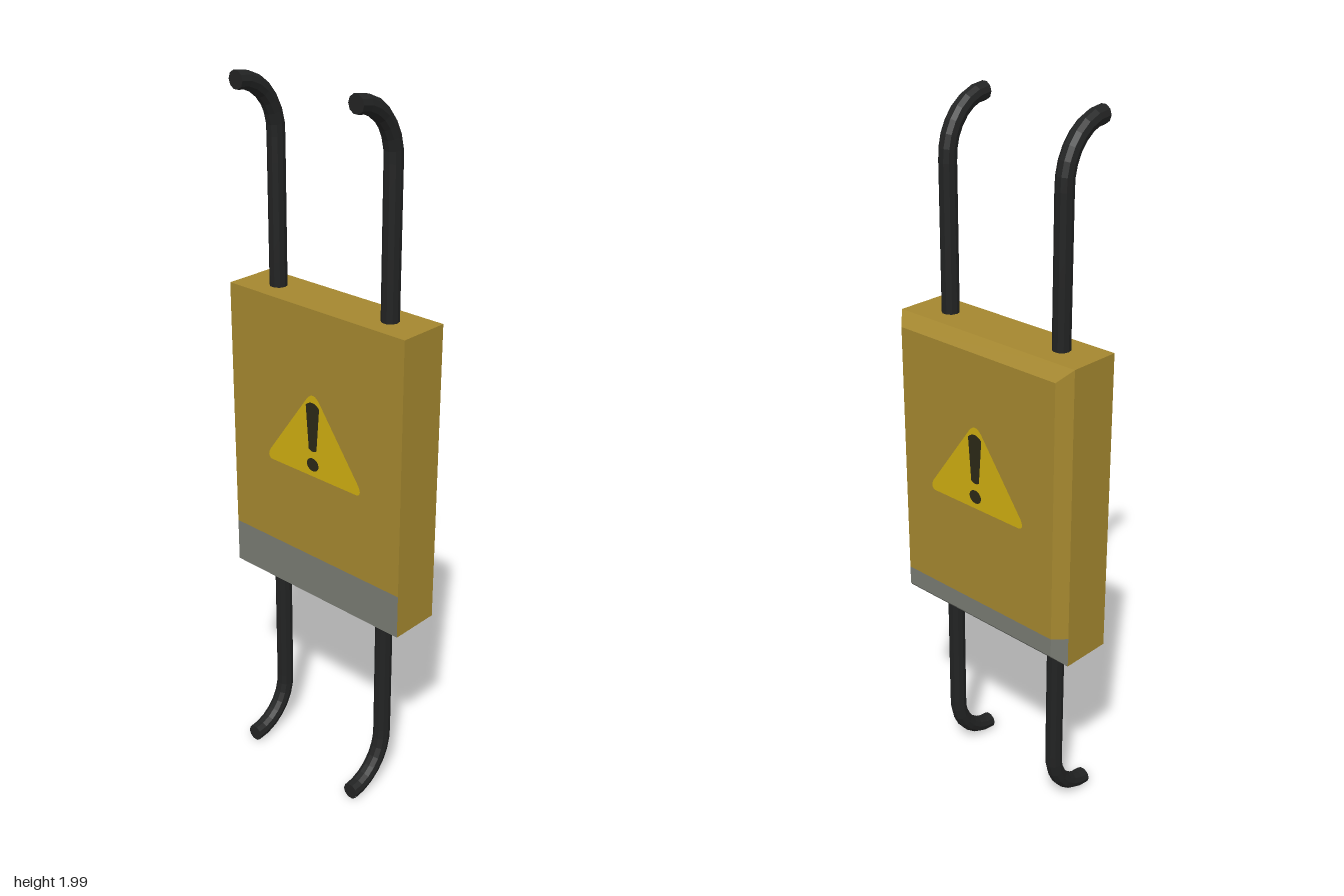
import * as THREE from 'three';

const mat = (name, color, extra = {}) => new THREE.MeshStandardMaterial({ name, color, ...extra });

// Flat-shaded quads, each turned to face away from the centre
function quadMesh(name, quads, material) {
  const centre = new THREE.Vector3(0.02, 1, 0);
  const pos = [];
  for (const q of quads) {
    const [a, b, c, d] = q.map(p => new THREE.Vector3(...p));
    const n = b.clone().sub(a).cross(c.clone().sub(a));
    const out = a.clone().add(c).multiplyScalar(0.5).sub(centre);
    const order = n.dot(out) > 0 ? [a, b, c, a, c, d] : [a, c, b, a, d, c];
    for (const p of order) pos.push(p.x, p.y, p.z);
  }
  const g = new THREE.BufferGeometry();
  g.setAttribute('position', new THREE.Float32BufferAttribute(pos, 3));
  g.computeVertexNormals();
  const m = new THREE.Mesh(g, material);
  m.name = name;
  return m;
}

export function createModel() {
  const gold = mat('gold casing', 0xa4872f);
  const grey = mat('grey band', 0x787a72);
  const yellow = mat('warning yellow', 0xcdac10);
  const ink = mat('dark mark', 0x2b2916);
  const black = mat('black cable', 0x222323, { flatShading: true });
  const model = new THREE.Group();
  model.name = 'wallBox';

  // Casing outline: back, bevel start, front face
  const xb = -0.06, xm = 0.087, xf = 0.12;
  const Z = 0.302, z = 0.27, Y0 = 0.573, Y1 = 1.423, y0 = 0.606, y1 = 1.39;
  const band = 0.66, backBand = 0.70, patch = 0.16;
  const goldQuads = [
    [[xf, band, -z], [xf, band, z], [xf, y1, z], [xf, y1, -z]],
    [[xm, Y1, -Z], [xm, Y1, Z], [xf, y1, z], [xf, y1, -z]],
    [[xb, Y1, -Z], [xb, Y1, Z], [xm, Y1, Z], [xm, Y1, -Z]],
    [[xb, backBand, -Z], [xb, backBand, Z], [xb, Y1, Z], [xb, Y1, -Z]],
  ];
  const greyQuads = [
    [[xf, y0, -z], [xf, y0, z], [xf, band, z], [xf, band, -z]],
    [[xm, Y0, -Z], [xm, Y0, Z], [xf, y0, z], [xf, y0, -z]],
    [[xb, Y0, -Z], [xb, Y0, Z], [xb, backBand, Z], [xb, backBand, -Z]],
    [[xb, Y0, -Z], [xb, Y0, patch], [xm, Y0, patch], [xm, Y0, -Z]],
  ];
  for (const s of [1, -1]) {
    goldQuads.push(
      [[xb, Y0, s * Z], [xm, Y0, s * Z], [xm, Y1, s * Z], [xb, Y1, s * Z]],
      [[xm, band, s * Z], [xf, band, s * z], [xf, y1, s * z], [xm, Y1, s * Z]]);
    greyQuads.push([[xm, Y0, s * Z], [xf, y0, s * z], [xf, band, s * z], [xm, band, s * Z]]);
  }
  model.add(quadMesh('casing', goldQuads, gold));
  model.add(quadMesh('lowerBand', greyQuads, grey));
  model.add(quadMesh('undersidePatch',
    [[[xb, Y0, patch], [xb, Y0, Z], [xm, Y0, Z], [xm, Y0, patch]]], black));

  // Warning sign: rounded triangle, bar and dot
  const sign = new THREE.Shape();
  sign.moveTo(-0.155, 0.95);
  sign.lineTo(0.155, 0.95);
  sign.quadraticCurveTo(0.175, 0.955, 0.16, 0.98);
  sign.lineTo(0.022, 1.172);
  sign.quadraticCurveTo(0, 1.2, -0.022, 1.172);
  sign.lineTo(-0.16, 0.98);
  sign.quadraticCurveTo(-0.175, 0.955, -0.155, 0.95);
  const bar = new THREE.Shape();
  bar.moveTo(-0.014, 1.03);
  bar.quadraticCurveTo(0, 1.02, 0.014, 1.03);
  bar.lineTo(0.024, 1.155);
  bar.quadraticCurveTo(0, 1.178, -0.024, 1.155);
  const dot = new THREE.Shape();
  dot.absellipse(0, 0.986, 0.021, 0.019, 0, Math.PI * 2);

  for (const [side, x] of [[1, xf], [-1, xb]]) {
    const group = new THREE.Group();
    group.name = side > 0 ? 'outerWarningSign' : 'innerWarningSign';
    const plate = new THREE.Mesh(new THREE.ShapeGeometry(sign), yellow);
    plate.name = 'signPlate';
    const mark = new THREE.Mesh(new THREE.ShapeGeometry([bar, dot]), ink);
    mark.name = 'exclamationMark';
    mark.position.z = 0.002;
    group.add(plate, mark);
    group.rotation.y = side * Math.PI / 2;
    group.position.x = x + side * 0.002;
    model.add(group);
  }

  // Two cables, bent towards the wall at both ends
  const V = (x, y) => new THREE.Vector3(x, y, 0);
  const cx = 0.013, ex = -0.12, r = 0.024, lo = 0.026, hi = 1.975, bend = 0.145;
  const path = new THREE.CurvePath();
  path.add(new THREE.CubicBezierCurve3(V(ex, lo), V(-0.047, lo), V(cx, lo + 0.065), V(cx, lo + bend)));
  path.add(new THREE.LineCurve3(V(cx, lo + bend), V(cx, hi - bend)));
  path.add(new THREE.CubicBezierCurve3(V(cx, hi - bend), V(cx, hi - 0.065), V(-0.047, hi), V(ex, hi)));
  const tube = new THREE.TubeGeometry(path, 64, r, 10);
  const cap = new THREE.CircleGeometry(r, 10).rotateY(-Math.PI / 2);
  for (const s of [1, -1]) {
    const cable = new THREE.Group();
    cable.name = s > 0 ? 'leftCable' : 'rightCable';
    const body = new THREE.Mesh(tube, black);
    body.name = 'cableTube';
    cable.add(body);
    for (const y of [lo, hi]) {
      const end = new THREE.Mesh(cap, black);
      end.name = 'cableEnd';
      end.position.set(ex, y, 0);
      cable.add(end);
    }
    cable.position.z = s * 0.194;
    model.add(cable);
  }
  return model;
}
